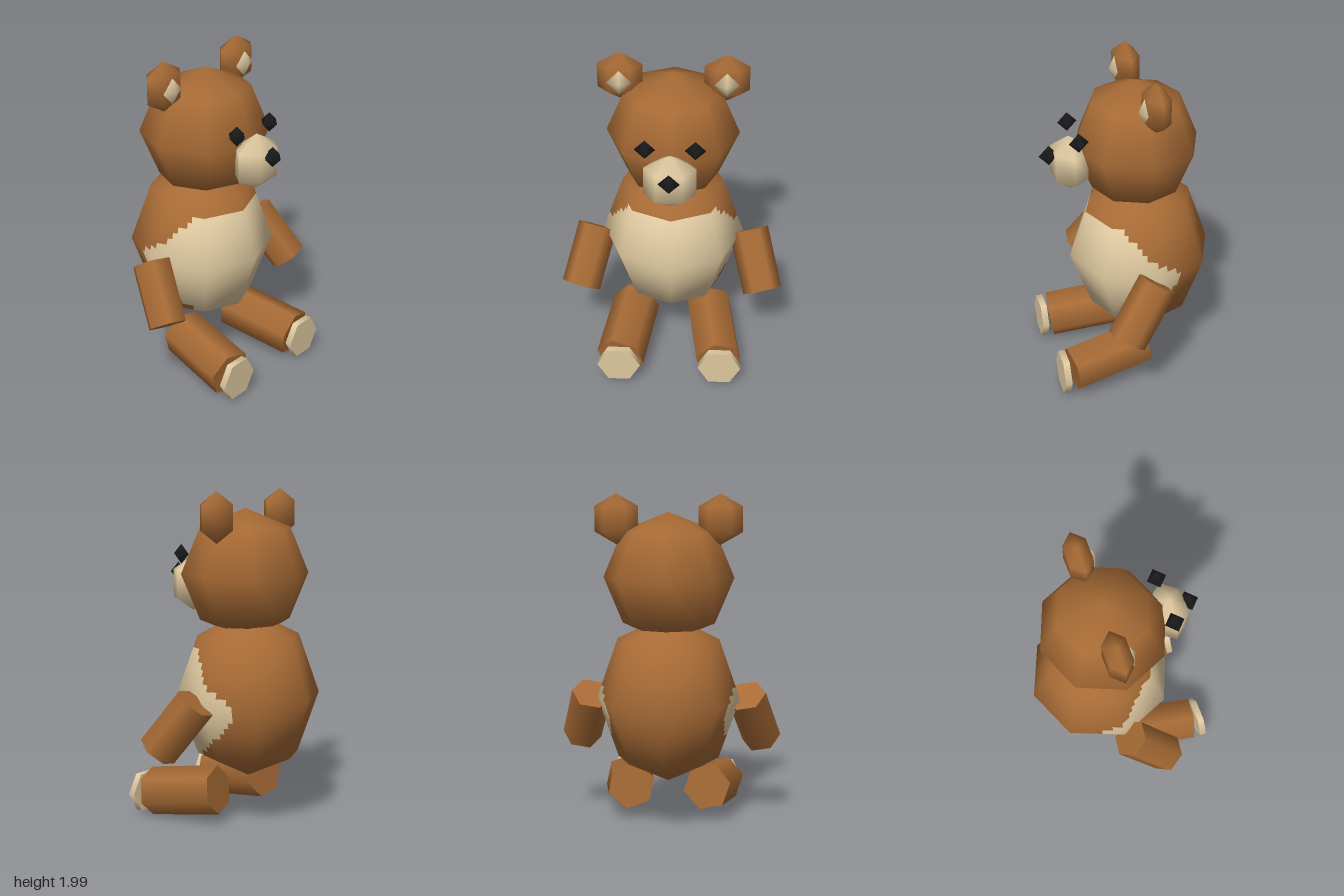
import * as THREE from 'three';

const brown = new THREE.MeshStandardMaterial({ name: 'brownFur', color: 0xa66a35 });
const cream = new THREE.MeshStandardMaterial({ name: 'creamFur', color: 0xdfc9a0 });
const black = new THREE.MeshStandardMaterial({ name: 'blackBeads', color: 0x1c1c1e });

const CX = -0.01; // middle line of the bear

function add(group, name, geometry, material, position) {
  const mesh = new THREE.Mesh(geometry, material);
  mesh.name = name;
  mesh.position.set(...position);
  group.add(mesh);
  return mesh;
}

// Low-poly ellipsoid
function ball(group, name, material, position, radii, w, h) {
  const mesh = add(group, name, new THREE.SphereGeometry(1, w, h), material, position);
  mesh.scale.set(...radii);
  return mesh;
}

// Six-sided limb between two points, rolled about its own axis
function limb(group, name, from, to, radius, roll) {
  const a = new THREE.Vector3(...from), b = new THREE.Vector3(...to);
  const axis = b.clone().sub(a);
  const geometry = new THREE.CylinderGeometry(radius, radius, axis.length(), 6);
  geometry.rotateY(roll);
  const mesh = add(group, name, geometry, brown, a.clone().add(b).multiplyScalar(0.5).toArray());
  mesh.quaternion.setFromUnitVectors(new THREE.Vector3(0, 1, 0), axis.normalize());
}

// Belly patch: half-width in degrees around the body at each height
const PATCH = [[0.395, 42], [0.43, 56], [0.53, 88], [0.64, 110], [0.78, 112], [0.9, 84], [1.06, 55]];
function inPatch(y, azimuth) {
  for (let i = 1; i < PATCH.length; i++) {
    const [y0, a0] = PATCH[i - 1], [y1, a1] = PATCH[i];
    if (y >= y0 && y <= y1) return Math.abs(azimuth) < a0 + (a1 - a0) * (y - y0) / (y1 - y0);
  }
  return false;
}

// Eight-by-four ellipsoid whose flat facets are cut into cells, so the patch lies in the surface
function bodyGeometry(center, radii) {
  const CELLS = 10;
  const positions = [], normals = [], creamIndex = [], brownIndex = [];
  const corner = (i, j) => {
    const az = i * Math.PI / 4, th = j * Math.PI / 4;
    return new THREE.Vector3(Math.sin(az) * Math.sin(th), Math.cos(th), Math.cos(az) * Math.sin(th));
  };
  const r = new THREE.Vector3(...radii);
  for (let i = -4; i < 4; i++) for (let j = 0; j < 4; j++) {
    const point = (u, v) => corner(i, j).lerp(corner(i + 1, j), u)
      .lerp(corner(i, j + 1).lerp(corner(i + 1, j + 1), u), v);
    for (let p = 0; p < CELLS; p++) for (let q = 0; q < CELLS; q++) {
      const base = positions.length / 3;
      for (const [du, dv] of [[0, 0], [0, 1], [1, 1], [1, 0]]) {
        const s = point((p + du) / CELLS, (q + dv) / CELLS);
        normals.push(...s.clone().divide(r).normalize().toArray());
        positions.push(...s.multiply(r).toArray());
      }
      const y = center[1] + point(0.5, (q + 0.5) / CELLS).y * r.y;
      const azimuth = (i + (p + 0.5) / CELLS) * 45;
      const list = inPatch(y, azimuth) ? creamIndex : brownIndex;
      list.push(base, base + 1, base + 2, base, base + 2, base + 3);
    }
  }
  const geometry = new THREE.BufferGeometry();
  geometry.setAttribute('position', new THREE.Float32BufferAttribute(positions, 3));
  geometry.setAttribute('normal', new THREE.Float32BufferAttribute(normals, 3));
  geometry.setIndex([...brownIndex, ...creamIndex]);
  geometry.addGroup(0, brownIndex.length, 0);
  geometry.addGroup(brownIndex.length, creamIndex.length, 1);
  return geometry;
}

export function createModel() {
  const bear = new THREE.Group();
  bear.name = 'teddyBear';

  // Body with belly patch, and head
  const bodyCenter = [CX, 0.78, -0.085];
  add(bear, 'body', bodyGeometry(bodyCenter, [0.43, 0.51, 0.435]), [brown, cream], bodyCenter);
  ball(bear, 'head', brown, [CX, 1.505, -0.06], [0.39, 0.387, 0.377], 8, 4);

  // Face
  ball(bear, 'muzzle', cream, [CX, 1.42, 0.34], [0.173, 0.17, 0.127], 6, 3);
  ball(bear, 'nose', black, [CX, 1.48, 0.46], [0.062, 0.062, 0.06], 4, 2);

  for (const s of [1, -1]) {
    const side = s > 0 ? 'left' : 'right';
    const x = (d) => CX + s * d;

    ball(bear, side + 'Eye', black, [x(0.142), 1.61, 0.315], [0.06, 0.06, 0.058], 4, 2);

    // Ears
    ball(bear, side + 'Ear', brown, [x(0.307), 1.85, -0.088], [0.15, 0.15, 0.09], 6, 3);
    ball(bear, side + 'InnerEar', cream, [x(0.307), 1.838, -0.02], [0.073, 0.077, 0.033], 4, 2);

    // Arms and legs
    limb(bear, side + 'Arm', [x(0.468), 0.795, -0.06], [x(0.56), 0.495, 0.155], 0.12, s * 0.2);
    limb(bear, side + 'Leg', [x(0.232), 0.22, -0.035], [x(0.303), 0.15, 0.425], 0.147, s > 0 ? 0.36 : 0.15);

    // Foot pads
    const pad = new THREE.CylinderGeometry(0.131, 0.131, 0.04, 6);
    pad.rotateY(Math.PI / 6).rotateX(Math.PI / 2);
    add(bear, side + 'FootPad', pad, cream, [x(0.308), 0.146, 0.478]);
  }
  return bear;
}
